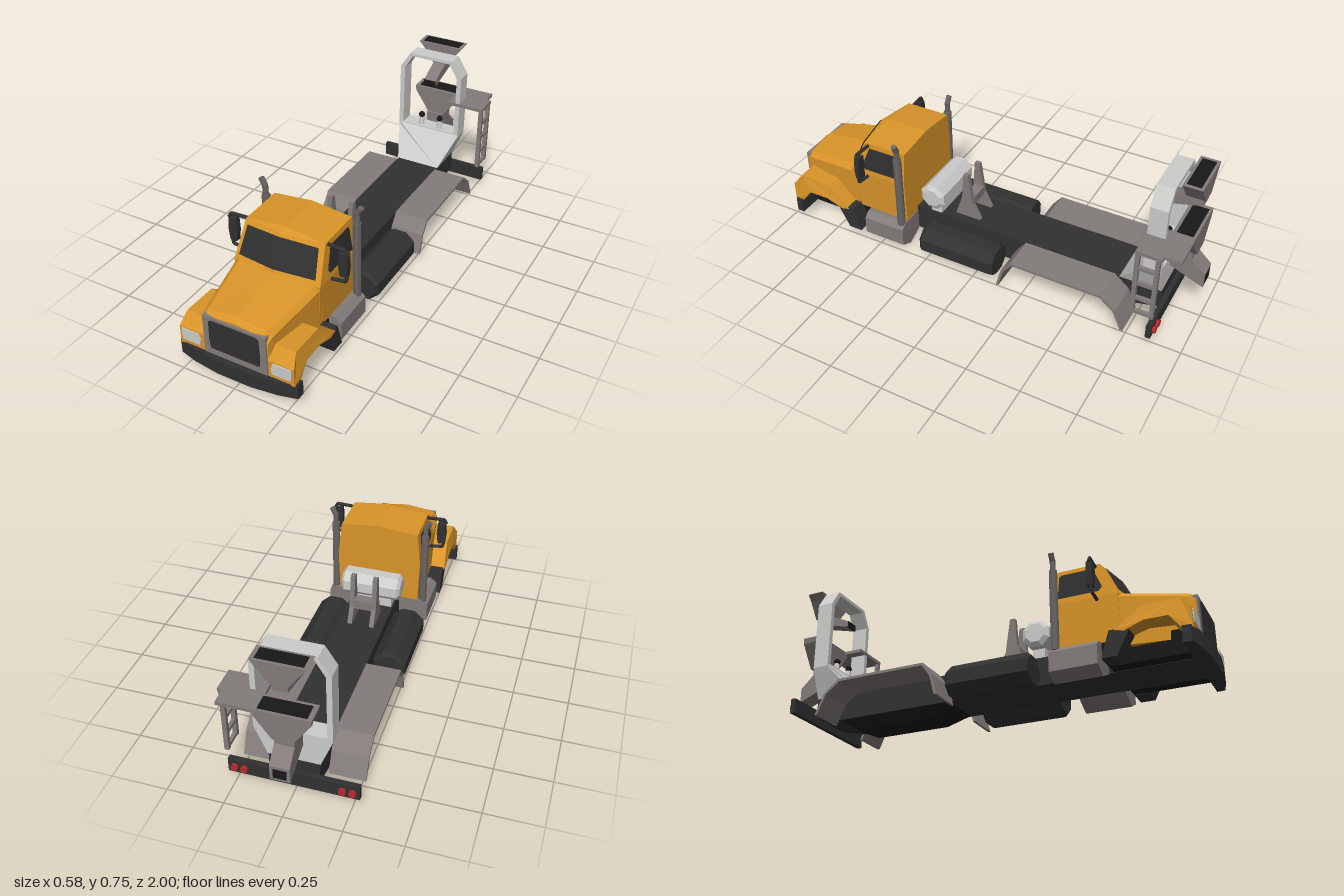
import * as THREE from 'three';

const mat = (name, color) => {
  const m = new THREE.MeshStandardMaterial({ color, flatShading: true });
  m.name = name;
  return m;
};

export function createModel() {
  const orange = mat('orange paint', 0xd99429);
  const dark = mat('dark grey', 0x313131);
  const black = mat('black', 0x181818);
  const gray = mat('warm grey', 0x827b79);
  const pipe = mat('pipe grey', 0x686463);
  const light = mat('light grey', 0xcccdca);
  const red = mat('red lamp', 0xb8282d);
  const glass = mat('dark glass', 0x303030);
  glass.side = THREE.DoubleSide;

  const truck = new THREE.Group();
  truck.name = 'truck';
  const add = (name, geo, material) => {
    const m = new THREE.Mesh(geo, material);
    m.name = name;
    truck.add(m);
    return m;
  };
  const shapeOf = pts => new THREE.Shape(pts.map(p => new THREE.Vector2(p[0], p[1])));
  const extrude = (shape, depth) => new THREE.ExtrudeGeometry(shape, { depth, bevelEnabled: false });

  // Box given by its limits
  const box = (x0, x1, y0, y1, z0, z1) =>
    new THREE.BoxGeometry(x1 - x0, y1 - y0, z1 - z0).translate((x0 + x1) / 2, (y0 + y1) / 2, (z0 + z1) / 2);
  // Outline in (z, y), extruded along x
  const side = (pts, x0, x1) => extrude(shapeOf(pts), x1 - x0).rotateY(-Math.PI / 2).translate(x1, 0, 0);
  // Outline in (x, z), extruded along y
  const plan = (pts, y0, y1) =>
    extrude(shapeOf(pts.map(([x, z]) => [x, -z])), y1 - y0).rotateX(-Math.PI / 2).translate(0, y0, 0);
  // Outline in (x, y), extruded along z
  const front = (pts, z0, z1) => extrude(shapeOf(pts), z1 - z0).translate(0, 0, z0);
  const rod = (a, b, r, r2 = r, n = 8) => {
    const A = new THREE.Vector3(...a), d = new THREE.Vector3(...b).sub(A);
    const g = new THREE.CylinderGeometry(r2, r, d.length(), n).translate(0, d.length() / 2, 0);
    g.applyQuaternion(new THREE.Quaternion().setFromUnitVectors(new THREE.Vector3(0, 1, 0), d.clone().normalize()));
    return g.translate(A.x, A.y, A.z);
  };
  const surface = (pts, idx) => {
    const g = new THREE.BufferGeometry();
    g.setAttribute('position', new THREE.Float32BufferAttribute(pts.flat(), 3));
    g.setIndex(idx);
    const out = g.toNonIndexed();
    out.computeVertexNormals();
    return out;
  };
  // Mirrored half sections (bottom to top), listed from back to front
  const loft = sections => {
    const rings = sections.map(h => [...h, ...h.slice().reverse().map(([x, y, z]) => [-x, y, z])]);
    const n = rings[0].length, idx = [], last = (rings.length - 1) * n;
    for (let s = 0; s < rings.length - 1; s++)
      for (let i = 0; i < n; i++) {
        const a = s * n + i, b = s * n + (i + 1) % n;
        idx.push(a, b, b + n, a, b + n, a + n);
      }
    for (let i = 1; i < n - 1; i++) idx.push(0, i + 1, i, last, last + i, last + i + 1);
    return surface(rings.flat(), idx);
  };
  const at = (z, pts) => pts.map(([x, y]) => [x, y, z]);
  const panel = pts => surface(pts, pts.slice(2).flatMap((_, i) => [0, i + 1, i + 2]));

  // Chassis and belly
  add('chassis', side([[.95, .05], [.95, .165], [.6, .175], [-.845, .175], [-.845, .08], [-.73, .05]], -.108, .108), dark);
  add('frontUnderbody', box(-.17, .17, .052, .16, .6, .95), black);
  add('cabFloor', box(-.19, .19, .08, .17, .385, .64), black);
  const belly = (z0, z1) => [[.07, .003, z1], [.108, .06, z0]];
  add('belly', loft([belly(-.73, -.61), belly(-.13, -.25)]), black);

  // Cab
  const cabRing = (z, zt) => [[.198, .15, z], [.205, .355, z], [.187, .517, zt], [0, .537, zt]];
  add('cab', loft([
    cabRing(.375, .375),
    [[.198, .15, .665], [.205, .355, .665], [.187, .517, .589], [0, .537, .583]],
    [[0, .15, .69], [0, .38, .69], [0, .522, .619], [0, .537, .59]],
  ]), orange);

  // Hood
  const hoodRing = (w, y, z) => [[w, .12, z], [w + .003, y - .04, z], [w - .02, y - .018, z], [0, y, z]];
  add('hood', loft([hoodRing(.2, .382, .64), hoodRing(.197, .378, .68), hoodRing(.157, .338, .945),
    hoodRing(.15, .318, .968)]), orange);

  // Windscreen and door windows
  const wz = (x, y) => THREE.MathUtils.lerp(.69 - .5 * (y - .38), .665 - .469 * (y - .355), Math.abs(x) / .2) + .007;
  for (const s of [-1, 1]) {
    add('windscreen', panel([[0, .391], [.182, .383], [.168, .502], [0, .512]].map(([x, y]) => [s * x, y, wz(x, y)])), glass);
    add('doorWindow', panel([[.405, .38], [.585, .38], [.6, .4], [.56, .496], [.42, .496], [.41, .485]]
      .map(([z, y]) => [s * (.209 - .018 * (y - .355) / .16), y, z])), glass);
  }

  // Grille and bumper
  add('grilleSurround', box(-.147, .147, .11, .307, .93, .975), gray);
  add('grille', front([[-.113, .155], [.113, .155], [.118, .2], [.115, .288], [.1, .295], [-.1, .295],
    [-.115, .288], [-.118, .2]], .972, .98), dark);
  add('bumper', plan([[-.28, .93], [.28, .93], [.278, .965], [.2, .985], [.08, 1], [-.08, 1], [-.2, .985],
    [-.278, .965]], .05, .12), dark);

  // Parts repeated on both sides, drawn on +x and turned over for -x
  const both = (name, make, material) => {
    add(name, make(), material);
    const g = make().toNonIndexed(), p = g.attributes.position;
    for (let i = 0; i < p.count; i += 3) {
      const v = [0, 2, 1].map(k => new THREE.Vector3().fromBufferAttribute(p, i + k));
      v.forEach((q, k) => p.setXYZ(i + k, -q.x, q.y, q.z));
    }
    g.computeVertexNormals();
    add(name, g, material);
  };

  // Front fenders with narrowed tops
  both('frontFender', () => {
    const g = side([[.972, .115], [.972, .2], [.93, .256], [.77, .25], [.66, .16], [.7, .15], [.78, .18],
      [.88, .18], [.93, .115]], .15, .269);
    const p = g.attributes.position;
    for (let i = 0; i < p.count; i++)
      if (p.getX(i) > .2 && p.getY(i) > .21) p.setX(i, .255);
    g.computeVertexNormals();
    return g;
  }, orange);
  both('headlight', () => front([[.168, .14], [.252, .14], [.257, .155], [.257, .195], [.175, .195], [.165, .17]], .969, .977), light);
  both('mudFlap', () => side([[.72, .155], [.67, .165], [.635, .165], [.6, .05], [.665, .05]], .17, .264), dark);

  // Steps, tanks and rear fenders
  both('stepBox', () => front([[.105, .05], [.13, .035], [.188, .008], [.25, .04], [.25, .125], [.22, .15],
    [.105, .15]], .372, .58), gray);
  both('sideTank', () => {
    const ring = (z, k) => Array.from({ length: 8 }, (_, i) => {
      const a = (i + .5) * Math.PI / 4;
      return [.183 + Math.cos(a) * .083 * k, .09 + Math.sin(a) * .077 * k, z];
    });
    const rings = [ring(-.1, .85), ring(-.085, 1), ring(.265, 1), ring(.28, .85)], idx = [];
    for (let s = 0; s < 3; s++)
      for (let i = 0; i < 8; i++) {
        const a = s * 8 + i, b = s * 8 + (i + 1) % 8;
        idx.push(a, b, b + 8, a, b + 8, a + 8);
      }
    for (let i = 1; i < 7; i++) idx.push(0, i + 1, i, 24, 24 + i, 25 + i);
    return surface(rings.flat(), idx);
  }, dark);
  both('rearFender', () => side([[-.13, .025], [-.155, .12], [-.2, .179], [-.63, .179], [-.7, .12], [-.742, .025],
    [-.73, .025], [-.69, .115], [-.625, .167], [-.205, .167], [-.166, .115], [-.142, .025]], .108, .268), gray);

  // Exhaust stacks
  both('exhaustStack', () => rod([.221, .14, .393], [.221, .51, .393], .019), pipe);
  both('exhaustNeck', () => rod([.222, .51, .393], [.222, .56, .393], .013), pipe);
  both('exhaustTip', () => rod([.222, .553, .393], [.24, .588, .393], .013), pipe);

  // Mirrors
  both('mirror', () => front([[.247, .375], [.28, .378], [.285, .43], [.28, .487], [.243, .49], [.24, .43]], .56, .585), dark);
  [[[.185, .505, .57], [.272, .505, .575]], [[.272, .505, .575], [.283, .485, .575]],
    [[.195, .342, .575], [.27, .352, .575]], [[.27, .352, .575], [.276, .38, .575]]]
    .forEach(([a, b]) => both('mirrorArm', () => rod(a, b, .008, .008, 6), dark));

  // Round tank behind the cab and prop stand
  add('airTank', new THREE.CylinderGeometry(.065, .065, .26, 8).rotateY(Math.PI / 8).rotateZ(Math.PI / 2)
    .translate(0, .28, .272), light);
  for (const s of [-1, 1])
    add('airTankCap', new THREE.CylinderGeometry(s > 0 ? .045 : .065, s > 0 ? .065 : .045, .014, 8)
      .rotateY(Math.PI / 8).rotateZ(-Math.PI / 2).translate(s * .137, .28, .272), light);
  add('airTankFoot', box(-.1, .1, .17, .225, .245, .3), light);
  both('propStand', () => side([[.19, .172], [.06, .172], [.1, .25], [.122, .408], [.146, .408], [.155, .28]], .042, .064), gray);
  add('propCrossbar', box(-.05, .05, .24, .285, .1, .15), gray);

  // Rear base and arch
  add('rearBase', loft([
    [[.11, .172, -.845], [.165, .31, -.845], [.165, .325, -.845]],
    [[.11, .172, -.65], [.165, .31, -.77], [.165, .325, -.77]],
  ]), light);
  const arch = shapeOf([[-.165, .31], [.165, .31], [.165, .638], [.113, .72], [-.113, .72], [-.165, .638]]);
  arch.holes.push(shapeOf([[-.142, .326], [-.142, .633], [-.1, .704], [.1, .704], [.142, .633], [.142, .326]]));
  add('rearArch', extrude(arch, .078).translate(0, 0, -.845), light);
  for (const x of [-.05, .05]) {
    add('leverPost', rod([x, .322, -.795], [x, .37, -.795], .017, .011), light);
    add('leverKnob', new THREE.IcosahedronGeometry(.016, 1).translate(x, .378, -.795), black);
  }

  // Upper hopper and forward chute
  const funnel = [[.033, .643], [.088, .72], [.113, .746]];
  add('upperHopper', loft([at(-.952, funnel), at(-.868, funnel)]), gray);
  add('upperHopperOpening', box(-.095, .095, .744, .749, -.94, -.88), black);
  add('upperChute', side([[-.945, .648], [-.945, .615], [-.762, .567], [-.762, .597], [-.868, .648]], -.031, .031), gray);
  add('upperChuteOpening', box(-.031, .031, .567, .597, -.765, -.758), black);

  // Lower hopper and rear chute
  const lower = [[.042, .37], [.115, .475], [.12, .502]];
  add('lowerHopper', loft([at(-.952, lower), at(-.855, lower)]), gray);
  add('lowerHopperOpening', box(-.1, .1, .5, .505, -.94, -.87), black);
  add('lowerColumn', box(-.042, .042, .27, .375, -.935, -.84), gray);
  add('rearChute', side([[-.84, .33], [-.935, .335], [-.998, .275], [-.998, .205], [-.84, .27]], -.042, .042), gray);
  add('rearChuteOpening', box(-.028, .028, .217, .262, -1, -.994), black);

  // Platform and ladder
  add('platform', plan([[.1, -.765], [.287, -.765], [.287, -.88], [.265, -.88], [.265, -.952], [.1, -.952]], .486, .502), gray);
  for (const z of [-.776, -.862]) add('ladderRail', box(.268, .288, .17, .49, z - .009, z + .009), gray);
  for (const y of [.18, .255, .335, .415]) add('ladderRung', box(.27, .286, y - .008, y + .008, -.86, -.778), gray);

  // Tail bar and lamps
  add('tailBar', box(-.28, .28, .05, .118, -.868, -.845), dark);
  for (const s of [-1, 1])
    for (const x of [.208, .25])
      add('tailLamp', new THREE.CylinderGeometry(.016, .016, .016, 8).rotateX(Math.PI / 2)
        .translate(s * x, .083, -.874), red);
  return truck;
}
